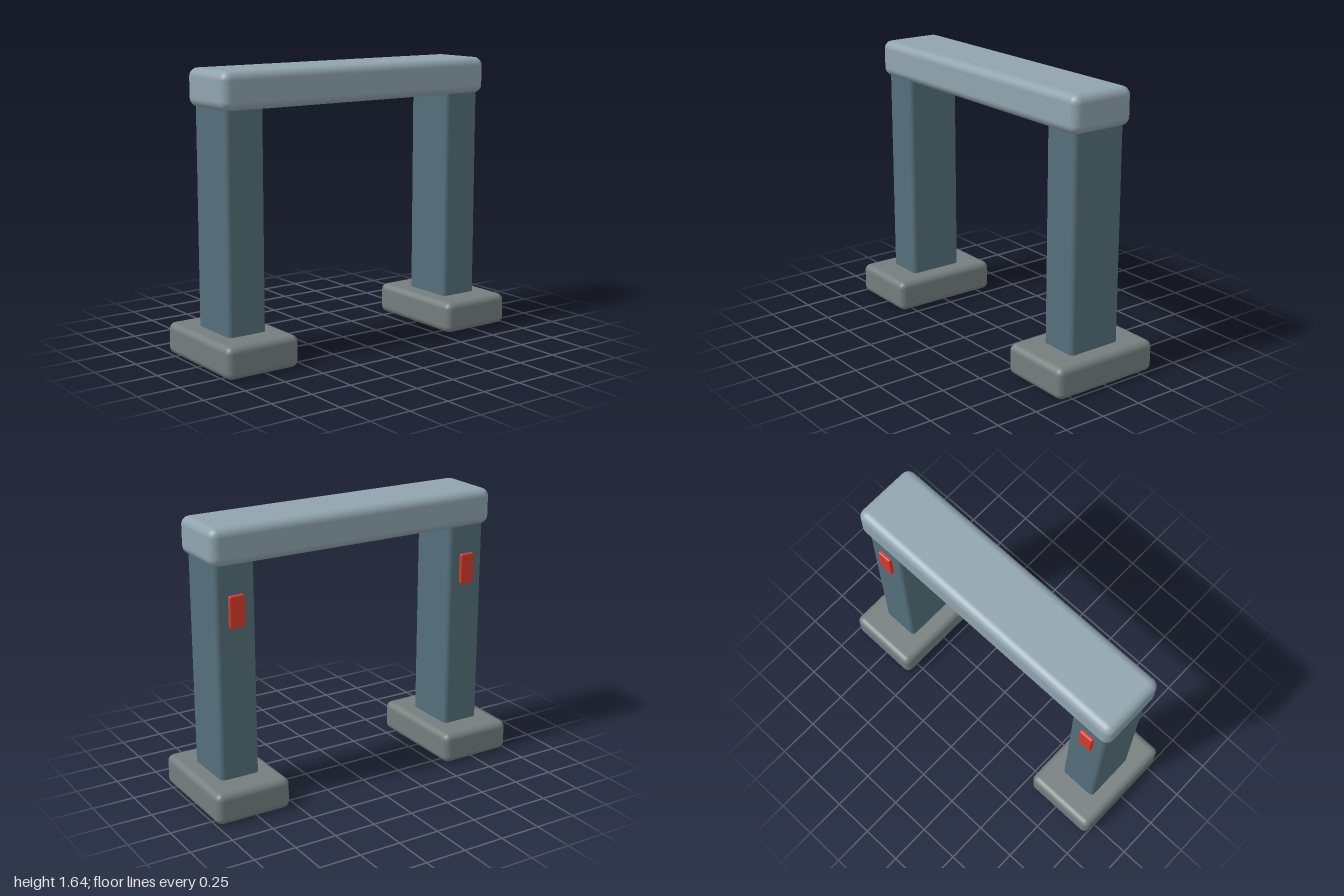
import * as THREE from 'three';
import { RoundedBoxGeometry } from 'three/addons/geometries/RoundedBoxGeometry.js';

const material = (color) => new THREE.MeshStandardMaterial({ color });

// Rounded block given by its size and centre
function block(name, [w, h, d], [x, y, z], radius, mat) {
  const mesh = new THREE.Mesh(new RoundedBoxGeometry(w, h, d, 4, radius), mat);
  mesh.name = name;
  mesh.position.set(x, y, z);
  return mesh;
}

export function createModel() {
  const gate = new THREE.Group();
  gate.name = 'gate';
  const beamGrey = material(0x90a4ae);
  const steelBlue = material(0x546e7a);
  const baseGrey = material(0x757d7d);
  const red = material(0xd63a2a);

  // Crossbeam resting on both pillars
  gate.add(block('crossbeam', [1.84, 0.215, 0.4], [0, 1.535, 0], 0.05, beamGrey));

  // Each side: foot, pillar and a red lamp on the back face
  for (const [side, s] of [['left', 1], ['right', -1]]) {
    const post = new THREE.Group();
    post.name = `${side}Post`;
    post.add(
      block('foot', [0.46, 0.185, 0.675], [s * 0.77, 0.0925, 0], 0.04, baseGrey),
      block('pillar', [0.24, 1.36, 0.335], [s * 0.77, 0.8, 0], 0.025, steelBlue),
      block('lamp', [0.092, 0.184, 0.04], [s * 0.77, 1.17, -0.167], 0.01, red),
    );
    gate.add(post);
  }
  return gate;
}
